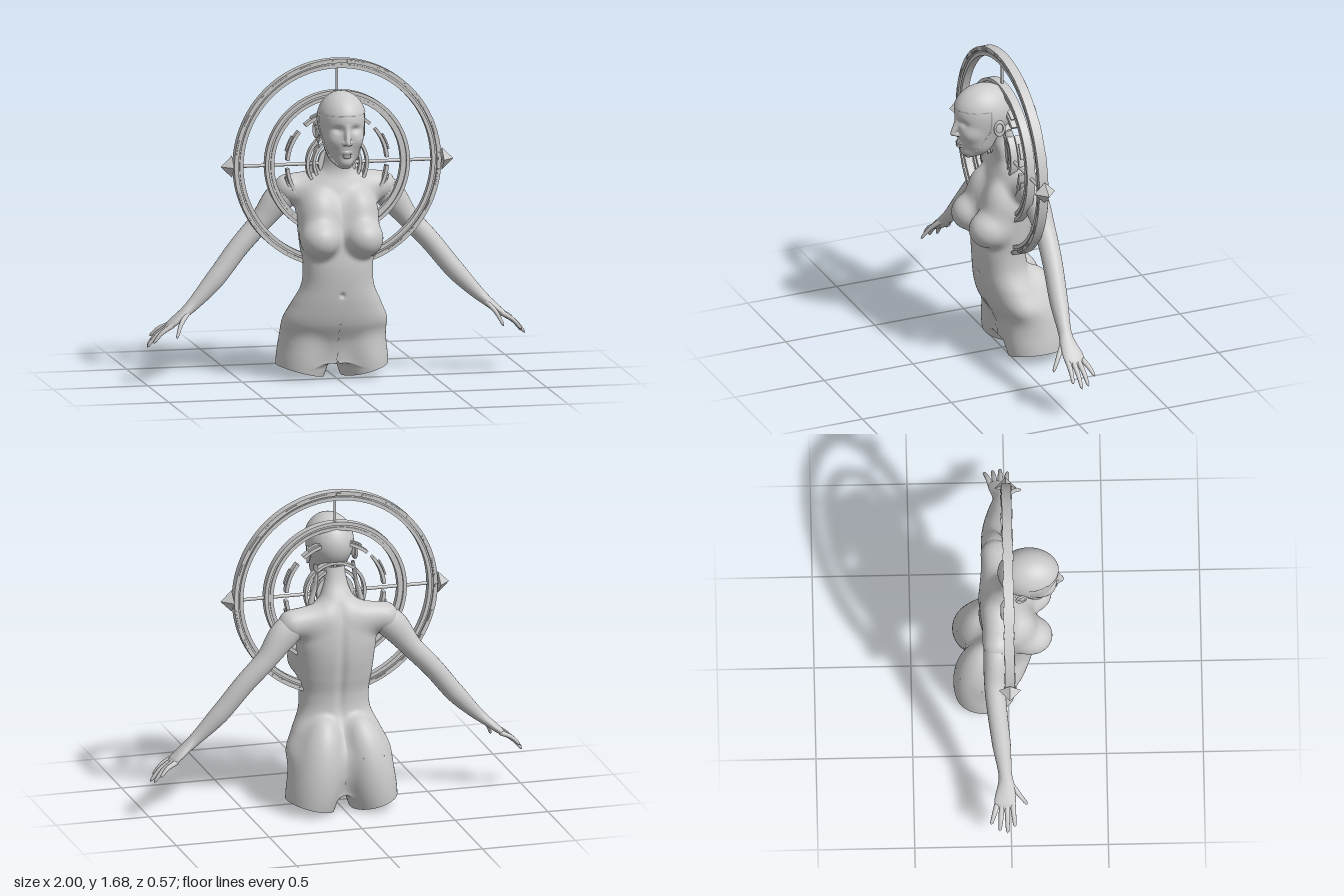
import * as THREE from 'three';

const mat = new THREE.MeshStandardMaterial({ color: 0xcccccc, side: THREE.DoubleSide });
const mesh = (geo, name, x = 0, y = 0, z = 0) => {
  const m = new THREE.Mesh(geo, mat);
  m.name = name;
  m.position.set(x, y, z);
  return m;
};

// ---- smooth blending of simple solids ----
const smin = (a, b, k) => {
  const h = Math.max(k - Math.abs(a - b), 0) / k;
  return Math.min(a, b) - h * h * k * 0.25;
};
const ellipsoid = (x, y, z, a, b, c) => {
  const k0 = Math.hypot(x / a, y / b, z / c), k1 = Math.hypot(x / a / a, y / b / b, z / c / c);
  return k1 < 1e-6 ? -Math.min(a, b, c) : k0 * (k0 - 1) / k1;
};
const capsule = (x, y, z, a, b, r0, r1) => {
  const d = b.map((v, i) => v - a[i]), p = [x - a[0], y - a[1], z - a[2]];
  const dot = (u, v) => u[0] * v[0] + u[1] * v[1] + u[2] * v[2];
  const t = THREE.MathUtils.clamp(dot(p, d) / dot(d, d), 0, 1);
  return Math.hypot(p[0] - d[0] * t, p[1] - d[1] * t, p[2] - d[2] * t) - r0 - (r1 - r0) * t;
};
const gauss = (v, s) => Math.exp(-v * v / (s * s));

// Skin a solid: cast rays outward from an inner axis and stop at its surface
function skin(field, ray, rows, cols, limit = () => -1) {
  const pos = [], nor = [], idx = [], e = 0.002;
  for (let i = 0; i <= rows; i++) for (let j = 0; j < cols; j++) {
    const [o, d] = ray(i / rows, j / cols * Math.PI * 2);
    const at = s => [o[0] + d[0] * s, o[1] + d[1] * s, o[2] + d[2] * s];
    const out = s => { const p = at(s); return Math.max(field(...p), limit(...p)) > 0; };
    let hi = 0;
    while (hi < 0.5 && !out(hi)) hi += 0.008;
    let lo = Math.max(hi - 0.008, 0);
    for (let k = 0; k < 12; k++) { const m = (lo + hi) / 2; if (out(m)) hi = m; else lo = m; }
    const [x, y, z] = at(lo);
    const n = new THREE.Vector3(
      field(x + e, y, z) - field(x - e, y, z),
      field(x, y + e, z) - field(x, y - e, z),
      field(x, y, z + e) - field(x, y, z - e)).normalize();
    pos.push(x, y, z);
    nor.push(n.x, n.y, n.z);
    if (i < rows) {
      const a = i * cols + j, b = i * cols + (j + 1) % cols;
      idx.push(a, b, a + cols, b, b + cols, a + cols);
    }
  }
  const g = new THREE.BufferGeometry();
  g.setAttribute('position', new THREE.Float32BufferAttribute(pos, 3));
  g.setAttribute('normal', new THREE.Float32BufferAttribute(nor, 3));
  return g.setIndex(idx);
}

// Trunk sections every 0.1 up from y = 0.1: half width, front z, back z
const trunk = [[.2, .03, -.2], [.25, .05, -.22], [.275, .1, -.215], [.235, .128, -.165], [.19, .143, -.115],
  [.183, .15, -.11], [.195, .145, -.13], [.205, .14, -.148], [.212, .115, -.153], [.19, .075, -.143],
  [.1, .045, -.108], [.062, .068, -.057], [.06, .1, -.035]];
function section(y) {
  const t = THREE.MathUtils.clamp((y - 0.1) * 10, 0, 11.999), i = Math.floor(t), f = t - i;
  const at = k => trunk[THREE.MathUtils.clamp(k, 0, 12)];
  return [0, 1, 2].map(c => {
    const p0 = at(i - 1)[c], p1 = at(i)[c], p2 = at(i + 1)[c], p3 = at(i + 2)[c];
    return p1 + 0.5 * f * (p2 - p0 + f * (2 * p0 - 5 * p1 + 4 * p2 - p3 + f * (3 * (p1 - p2) + p3 - p0)));
  });
}
function body(x, y, z) {
  x = Math.abs(x);
  const [w, zf, zb] = section(y), h = (zf - zb) / 2, p = 2.25;
  let d = (Math.pow(Math.pow(x / w, p) + Math.pow(Math.abs(z - (zf + zb) / 2) / h, p), 1 / p) - 1) * Math.min(w, h);
  d = Math.max(d, 0.085 - y);
  d = smin(d, ellipsoid(x - 0.145 - (0.16 - y) * 0.16, y - 0.16, z + 0.12, 0.14, 0.33, 0.164), 0.035); // thigh and buttock
  if (y > 0.5) {
    d = smin(d, ellipsoid(x - 0.115, y - 0.755, z - 0.115, 0.102, 0.1, 0.113), 0.035); // breast
    d = smin(d, ellipsoid(x - 0.105, y - 0.85, z - 0.06, 0.09, 0.14, 0.085), 0.05);
    d = smin(d, capsule(x, y, z, [0.08, 1.02, -0.055], [0.245, 1, -0.06], 0.07, 0.075), 0.05); // shoulder
  }
  if (z < 0) d += 0.012 * gauss(x, 0.025) * gauss(y - 0.72, 0.3); // spine
  else d += 0.01 * gauss(Math.hypot(x, y - 0.46), 0.013); // navel
  return d;
}

function head(x, y, z) {
  const ax = Math.abs(x);
  let d = ellipsoid(x, y - 1.385, z - 0.108, 0.119, 0.138, 0.154);
  d = smin(d, ellipsoid(x, y - 1.275, z - 0.145, 0.092, 0.13, 0.102), 0.05); // jaw
  d = smin(d, ellipsoid(x, y - 1.172, z - 0.2, 0.032, 0.026, 0.03), 0.04); // chin
  d = smin(d, ellipsoid(ax - 0.05, y - 1.29, z - 0.19, 0.035, 0.035, 0.045), 0.04); // cheek
  d += 0.014 * gauss(Math.hypot(ax - 0.043, (y - 1.35) * 1.4), 0.026) * (z > 0.1 ? 1 : 0); // eye socket
  d = smin(d, capsule(x, y, z, [0, 1.365, 0.249], [0, 1.282, 0.274], 0.01, 0.016), 0.016); // nose
  d = smin(d, ellipsoid(ax - 0.014, y - 1.276, z - 0.255, 0.011, 0.01, 0.014), 0.01);
  d = smin(d, ellipsoid(x, y - 1.224, z - 0.243, 0.027, 0.008, 0.016), 0.01); // lips
  d = smin(d, ellipsoid(x, y - 1.207, z - 0.242, 0.023, 0.009, 0.016), 0.008);
  // raised cap around the face opening
  const edge = 0.11 + Math.max(0, 1.3 - y) * 0.6;
  return d - 0.007 * (1 - THREE.MathUtils.smoothstep(Math.min(1.42 - y, z - edge), -0.003, 0.003));
}

// Limb: points are [x, y, z, radius across, radius along z]
function limb(pts, rows = 40, cols = 24) {
  const path = new THREE.CatmullRomCurve3(pts.map(p => new THREE.Vector3(...p)));
  const radii = new THREE.CatmullRomCurve3(pts.map(p => new THREE.Vector3(p[3], p[4], 0)));
  const pos = [], idx = [];
  for (let i = 0; i <= rows; i++) {
    const t = i / rows, c = path.getPoint(t), r = radii.getPoint(t), tan = path.getTangent(t);
    const u = new THREE.Vector3(0, 0, 1).addScaledVector(tan, -tan.z).normalize(), v = tan.clone().cross(u);
    const end = Math.min(1, Math.sqrt(Math.max(0, 1 - t) * 12));
    for (let j = 0; j < cols; j++) {
      const a = j / cols * Math.PI * 2;
      const p = c.clone().addScaledVector(u, Math.cos(a) * r.y * end).addScaledVector(v, Math.sin(a) * r.x * end);
      pos.push(p.x, p.y, p.z);
      const k = i * cols + j, n = i * cols + (j + 1) % cols;
      if (i < rows) idx.push(k, n, k + cols, n, n + cols, k + cols);
    }
  }
  const g = new THREE.BufferGeometry();
  g.setAttribute('position', new THREE.Float32BufferAttribute(pos, 3));
  g.setIndex(idx).computeVertexNormals();
  return g;
}

// Flat ring or arc, centred on its thickness
function band(r0, r1, depth, a0 = 0, a1 = Math.PI * 2) {
  const s = new THREE.Shape();
  s.absarc(0, 0, r1, a0, a1, false);
  if (a1 - a0 > 6.28) s.holes.push(new THREE.Path().absarc(0, 0, r0, 0, Math.PI * 2, true));
  else s.absarc(0, 0, r0, a1, a0, true);
  return new THREE.ExtrudeGeometry(s, { depth, bevelEnabled: false, curveSegments: 72 }).translate(0, 0, -depth / 2);
}

function createSide() {
  const side = new THREE.Group();
  side.name = 'bodySide';
  // Hip and thigh, ending in a slanted cut
  const thigh = skin(body, (v, a) => {
    const y = v * 0.3, k = (1 - v) * 0.26;
    return [[0.16, y + k * 0.125, -0.1], [Math.sin(a), k * Math.sin(a), Math.cos(a)]];
  }, 40, 80, x => -x);
  const ring = Array.from({ length: 80 }, (_, j) => new THREE.Vector3().fromBufferAttribute(thigh.attributes.position, j));
  const cut = new THREE.BufferGeometry().setFromPoints([new THREE.Vector3(0.16, 0.0325, -0.1), ...ring]);
  cut.setIndex(ring.flatMap((_, j) => [0, 1 + (j + 1) % 80, 1 + j])).computeVertexNormals();
  side.add(mesh(thigh, 'thigh'), mesh(cut, 'thighCut'));

  side.add(mesh(limb([[.2, 1.01, -.06, .06, .06], [.285, .955, -.065, .078, .066], [.39, .825, -.075, .057, .055],
    [.505, .7, -.065, .053, .052], [.635, .54, -.045, .05, .048], [.755, .415, -.028, .033, .035],
    [.8, .375, -.025, .026, .043], [.86, .325, -.03, .02, .055], [.91, .285, -.035, .014, .05]], 60), 'arm'));
  const fingers = [[.87, .315, .008, .975, .225, .018], [.885, .305, -.02, 1, .2, -.02],
    [.885, .305, -.048, .99, .205, -.06], [.87, .31, -.07, .968, .245, -.105], [.79, .375, 0, .865, .257, .085]];
  fingers.forEach(([x, y, z, X, Y, Z], i) => side.add(mesh(limb([[x, y, z, .014, .015],
    [(x + X) / 2 + .006, (y + Y) / 2 + .008, (z + Z) / 2, .011, .0125], [X, Y, Z, .007, .008]], 14, 12), i < 4 ? 'finger' : 'thumb')));

  // Ear, eye and the narrow flap beside the neck
  const ear = mesh(new THREE.TorusGeometry(0.024, 0.007, 10, 24), 'earRim', 0.126, 1.325, 0.068);
  ear.rotation.y = 1.3;
  ear.scale.y = 1.5;
  const lobe = mesh(new THREE.SphereGeometry(1, 16, 12), 'ear', 0.12, 1.322, 0.07);
  lobe.scale.set(0.01, 0.036, 0.022);
  side.add(ear, lobe, mesh(new THREE.SphereGeometry(0.018, 20, 14), 'eye', 0.043, 1.349, 0.212));
  side.add(mesh(limb([[.1, 1.29, .01, .008, .02], [.108, 1.2, -.012, .01, .026], [.125, 1.13, -.02, .014, .02],
    [.14, 1.07, -.025, .016, .012]], 20, 14), 'neckFlap'));

  // Pointed end of the cross bar
  const tip = mesh(new THREE.ConeGeometry(0.058, 0.06, 4).toNonIndexed(), 'barTip', 0.585, 1.135, 0);
  tip.geometry.computeVertexNormals();
  tip.rotation.z = -Math.PI / 2;
  side.add(tip);
  return side;
}

export function createModel() {
  const model = new THREE.Group();
  model.name = 'haloedBust';
  const left = createSide(), right = left.clone();
  right.scale.x = -1;
  model.add(left, right);

  model.add(mesh(skin(body, (v, a) => {
    const y = 0.3 + v * 0.98, [, f, b] = section(y);
    return [[0, y, (f + b) / 2], [Math.sin(a), 0, Math.cos(a)]];
  }, 130, 112), 'torso'));
  model.add(mesh(skin(head, (v, a) => {
    const t = (v - 0.5) * Math.PI;
    return [[0, 1.33, 0.12], [Math.cos(t) * Math.sin(a), Math.sin(t), Math.cos(t) * Math.cos(a)]];
  }, 120, 160), 'head'));

  // Concentric halo
  const halo = new THREE.Group();
  halo.name = 'halo';
  halo.position.y = 1.135;
  [[.525, .547, .05], [.516, .526, .025], [.498, .517, .04], [.364, .382, .045], [.352, .366, .022], [.335, .353, .036],
    [.15, .165, .04], [.115, .13, .035]].forEach(r => halo.add(mesh(band(...r), 'haloRing')));
  for (let i = 0; i < 8; i++) {
    const a = i * Math.PI / 4 + 0.08;
    halo.add(mesh(band(0.255, 0.272, 0.04, a, a + 0.62), 'haloArc'));
    halo.add(mesh(band(0.275, 0.283, 0.025, a + 0.15, a + 0.45), 'haloArc'));
  }
  for (let i = 0; i < 24; i++) {
    const a = i * Math.PI / 12;
    halo.add(mesh(band(0.53, 0.54, 0.058, a, a + 0.07 + 0.05 * (i % 3)), 'rimPlate'));
  }
  const hub = mesh(new THREE.CylinderGeometry(0.1, 0.1, 0.025, 48), 'hub');
  hub.rotation.x = Math.PI / 2;
  const bar = mesh(new THREE.CylinderGeometry(0.009, 0.009, 1.13, 12), 'crossBar');
  bar.rotation.z = Math.PI / 2;
  halo.add(hub, bar, mesh(new THREE.CylinderGeometry(0.007, 0.007, 1.03, 12), 'uprightBar'));
  model.add(halo);
  return model;
}
